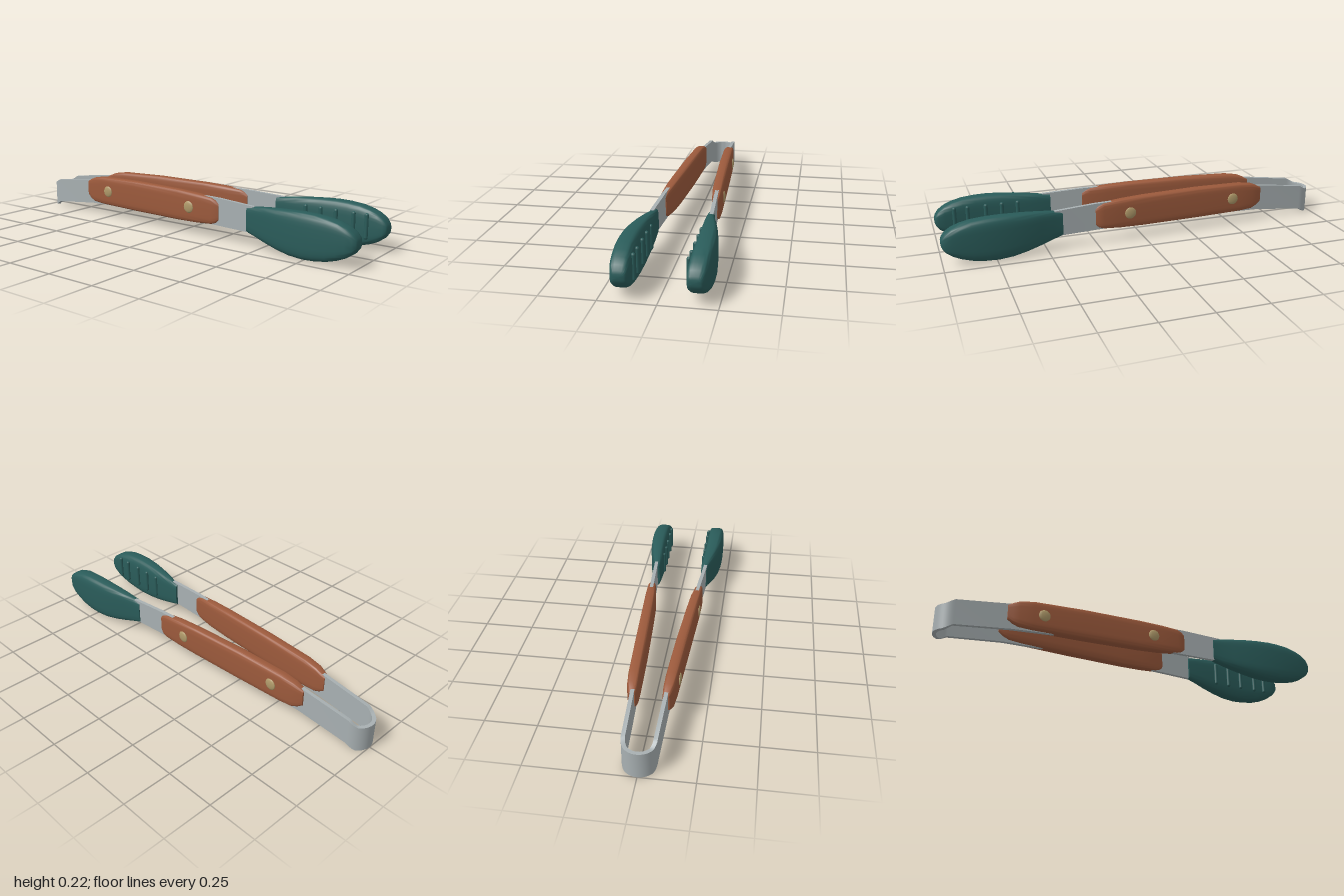
import * as THREE from 'three';
import { toCreasedNormals } from 'three/addons/utils/BufferGeometryUtils.js';

const mat = (name, color) => new THREE.MeshStandardMaterial({ name, color });

// Closed skin over a list of equal-length rings, with end caps
function loft(rings, crease) {
  const pos = [];
  const tri = (a, b, c) => pos.push(...a, ...b, ...c);
  const n = rings[0].length;
  const centre = (r) => [0, 1, 2].map((k) => r.reduce((s, p) => s + p[k], 0) / n);
  const first = rings[0], last = rings[rings.length - 1];
  const c0 = centre(first), c1 = centre(last);
  for (let j = 0; j < n; j++) {
    const k = (j + 1) % n;
    for (let i = 0; i < rings.length - 1; i++) {
      const a = rings[i], b = rings[i + 1];
      tri(a[j], b[j], a[k]);
      tri(b[j], b[k], a[k]);
    }
    tri(c0, first[j], first[k]);
    tri(c1, last[k], last[j]);
  }
  const g = new THREE.BufferGeometry();
  g.setAttribute('position', new THREE.Float32BufferAttribute(pos, 3));
  return toCreasedNormals(g, crease);
}

// Rounded-rectangle ring from [x, inner z, outer z, low y, high y]
function roundedRing([x, z0, z1, y0, y1], power, n = 32) {
  const soft = (v) => Math.sign(v) * Math.abs(v) ** (2 / power);
  return Array.from({ length: n }, (_, j) => {
    const a = (j / n) * Math.PI * 2;
    return [x, (y0 + y1) / 2 + soft(Math.sin(a)) * (y1 - y0) / 2,
      (z0 + z1) / 2 + soft(Math.cos(a)) * (z1 - z0) / 2];
  });
}

// Mirror a geometry front to back, keeping faces outward
function mirrorZ(geometry) {
  const g = geometry.index ? geometry.toNonIndexed() : geometry.clone();
  for (const key of ['position', 'normal']) {
    const a = g.attributes[key];
    for (let i = 0; i < a.count; i += 3) {
      const v = [0, 2, 1].map((k) => [a.getX(i + k), a.getY(i + k), -a.getZ(i + k)]);
      v.forEach((p, k) => a.setXYZ(i + k, ...p));
    }
  }
  return g;
}

// Bent metal strip: half path of [x, z, centre y, half height], then mirrored
function springStrip() {
  const half = [];
  for (let i = 0; i <= 10; i++) {
    const a = (i / 10) * Math.PI / 2;
    const x = -0.922 - 0.069 * Math.cos(a);
    const rise = Math.max(0, (x + 0.96) / 0.038);
    half.push([x, 0.069 * Math.sin(a), 0.065 + 0.024 * rise, 0.065]);
  }
  half.push([-0.65, 0.076, 0.12, 0.067], [-0.3, 0.096, 0.135, 0.067],
    [0.12, 0.12, 0.139, 0.068], [0.25, 0.127, 0.138, 0.068], [0.46, 0.139, 0.131, 0.064]);
  const path = [...half.slice(1).reverse().map(([x, z, y, h]) => [x, -z, y, h]), ...half];
  const t = 0.009;
  return loft(path.map(([x, z, y, h], i) => {
    const p = path[Math.max(i - 1, 0)], q = path[Math.min(i + 1, path.length - 1)];
    const len = Math.hypot(q[0] - p[0], q[1] - p[1]);
    const nx = -(q[1] - p[1]) / len * t, nz = (q[0] - p[0]) / len * t;
    return [[1, -1], [1, 1], [-1, 1], [-1, -1]].map(([s, v]) => [x + s * nx, y + v * h, z + s * nz]);
  }), 0.6);
}

export function createModel() {
  const model = new THREE.Group();
  model.name = 'tongs';
  const steel = mat('brushed steel', 0xa8b0b2);
  const wood = mat('brown wood', 0x9c5a3c);
  const brass = mat('brass', 0xb09a6a);
  const teal = mat('teal silicone', 0x2a5c5a);

  const add = (parent, name, geometry, material) => {
    const mesh = new THREE.Mesh(geometry, material);
    mesh.name = name;
    parent.add(mesh);
  };

  add(model, 'springStrip', springStrip(), steel);

  const handle = loft([
    [-0.675, 0.062, 0.092, 0.098, 0.178],
    [-0.65, 0.058, 0.1, 0.08, 0.19],
    [-0.62, 0.056, 0.108, 0.068, 0.202],
    [-0.55, 0.057, 0.114, 0.063, 0.213],
    [-0.3, 0.067, 0.126, 0.06, 0.219],
    [0, 0.084, 0.14, 0.061, 0.216],
    [0.12, 0.092, 0.146, 0.065, 0.211],
    [0.21, 0.104, 0.148, 0.072, 0.203],
    [0.235, 0.11, 0.145, 0.08, 0.193],
    [0.252, 0.115, 0.138, 0.093, 0.18],
  ].map((s) => roundedRing(s, 5)), 0.6);

  const head = loft([
    [0.42, 0.116, 0.15, 0.066, 0.188],
    [0.47, 0.114, 0.158, 0.052, 0.195],
    [0.53, 0.114, 0.174, 0.035, 0.202],
    [0.6, 0.115, 0.19, 0.018, 0.208],
    [0.67, 0.117, 0.202, 0.005, 0.212],
    [0.74, 0.118, 0.209, 0, 0.214],
    [0.8, 0.118, 0.211, 0.003, 0.212],
    [0.86, 0.118, 0.21, 0.011, 0.206],
    [0.91, 0.117, 0.206, 0.025, 0.194],
    [0.95, 0.117, 0.202, 0.042, 0.178],
    [0.98, 0.119, 0.195, 0.063, 0.157],
    [0.995, 0.124, 0.186, 0.083, 0.137],
    [1, 0.132, 0.178, 0.096, 0.124],
  ].map((s) => roundedRing(s, 4)), 0.8);

  for (const side of ['front', 'back']) {
    const arm = new THREE.Group();
    arm.name = side + 'Arm';
    model.add(arm);
    const place = (name, g, m) => add(arm, name, side === 'front' ? g : mirrorZ(g), m);

    place('handle', handle, wood);
    place('head', head, teal);

    // Domed rivets on the outer face
    for (const [x, z] of [[-0.5, 0.117], [0.075, 0.144]]) {
      place('rivet', new THREE.SphereGeometry(0.03, 12, 8).scale(1, 1, 0.25).translate(x, 0.14, z), brass);
    }
    // Grip ribs on the inner face
    for (const x of [0.59, 0.67, 0.75, 0.84, 0.905]) {
      place('gripRib', new THREE.CapsuleGeometry(0.01, 0.105, 4, 10).translate(x, 0.117, 0.115), teal);
    }
  }
  return model;
}
